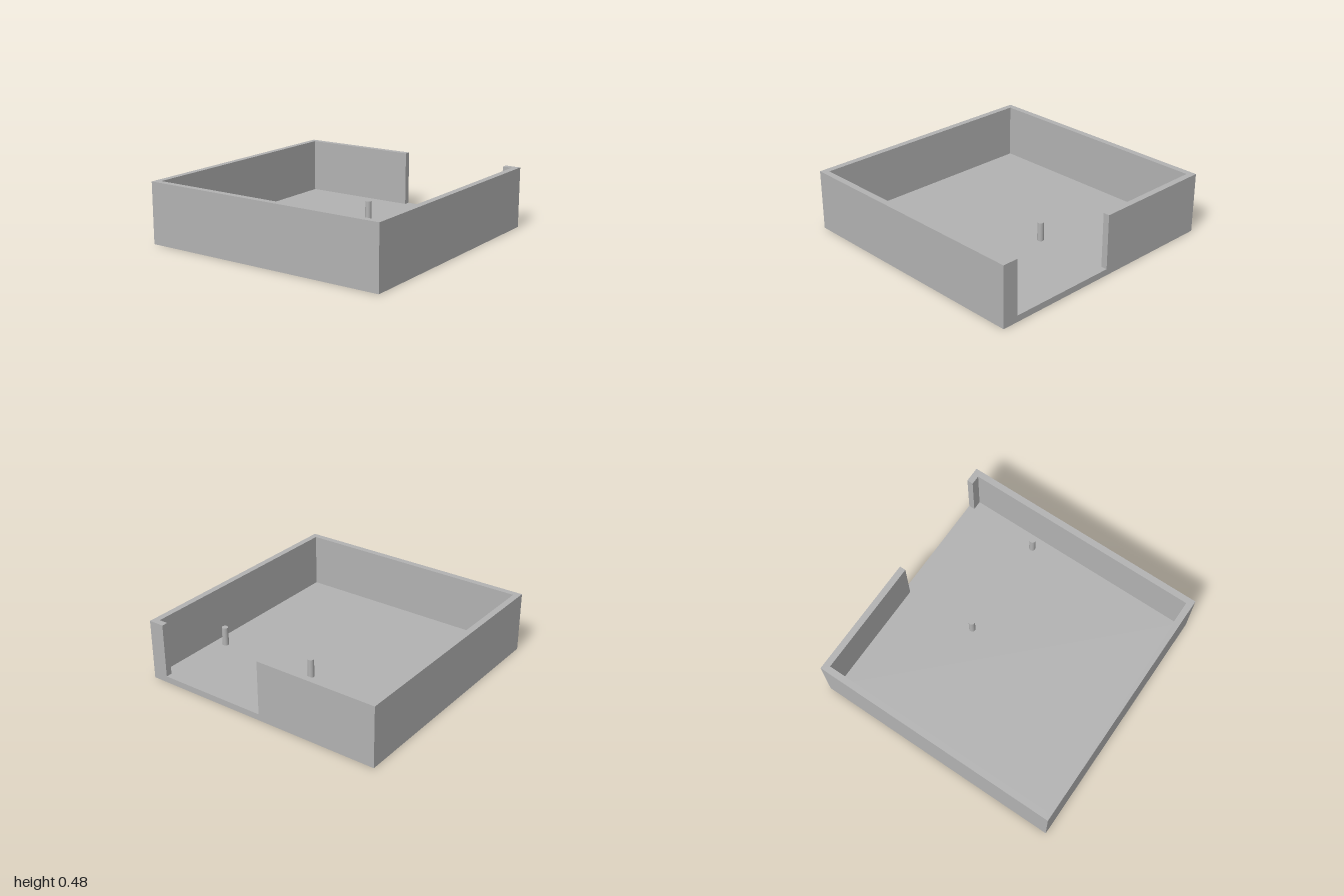
import * as THREE from 'three';

const HEIGHT = 0.48, FLOOR = 0.05, INNER = 0.95;
const GAP_BACK = -0.015, GAP_FRONT = 0.875; // doorway in the +x wall

export function createModel() {
  const model = new THREE.Group();
  const grey = new THREE.MeshStandardMaterial({ color: 0xb2b2b2 });
  grey.name = 'grey';

  const add = (name, geometry, x, y, z) => {
    const mesh = new THREE.Mesh(geometry, grey);
    mesh.name = name;
    mesh.position.set(x, y, z);
    model.add(mesh);
  };

  // Floor slab
  add('floor', new THREE.BoxGeometry(2, FLOOR, 2), 0, FLOOR / 2, 0);

  // One continuous wall around the floor, open at the doorway (plan points are x, z)
  const plan = [
    [1, GAP_FRONT], [1, 1], [-1, 1], [-1, -1], [1, -1], [1, GAP_BACK],
    [INNER, GAP_BACK], [INNER, -INNER], [-INNER, -INNER],
    [-INNER, INNER], [INNER, INNER], [INNER, GAP_FRONT],
  ];
  const shape = new THREE.Shape(plan.map(([x, z]) => new THREE.Vector2(x, -z)));
  const wall = new THREE.ExtrudeGeometry(shape, { depth: HEIGHT - FLOOR, bevelEnabled: false });
  wall.rotateX(-Math.PI / 2);
  add('wall', wall, 0, FLOOR, 0);

  // Two upright pins on the floor
  const pinHeight = 0.15;
  for (const [name, z] of [['backPin', 0.007], ['frontPin', 0.85]]) {
    add(name, new THREE.CylinderGeometry(0.025, 0.025, pinHeight, 32), 0.363, FLOOR + pinHeight / 2, z);
  }

  return model;
}
